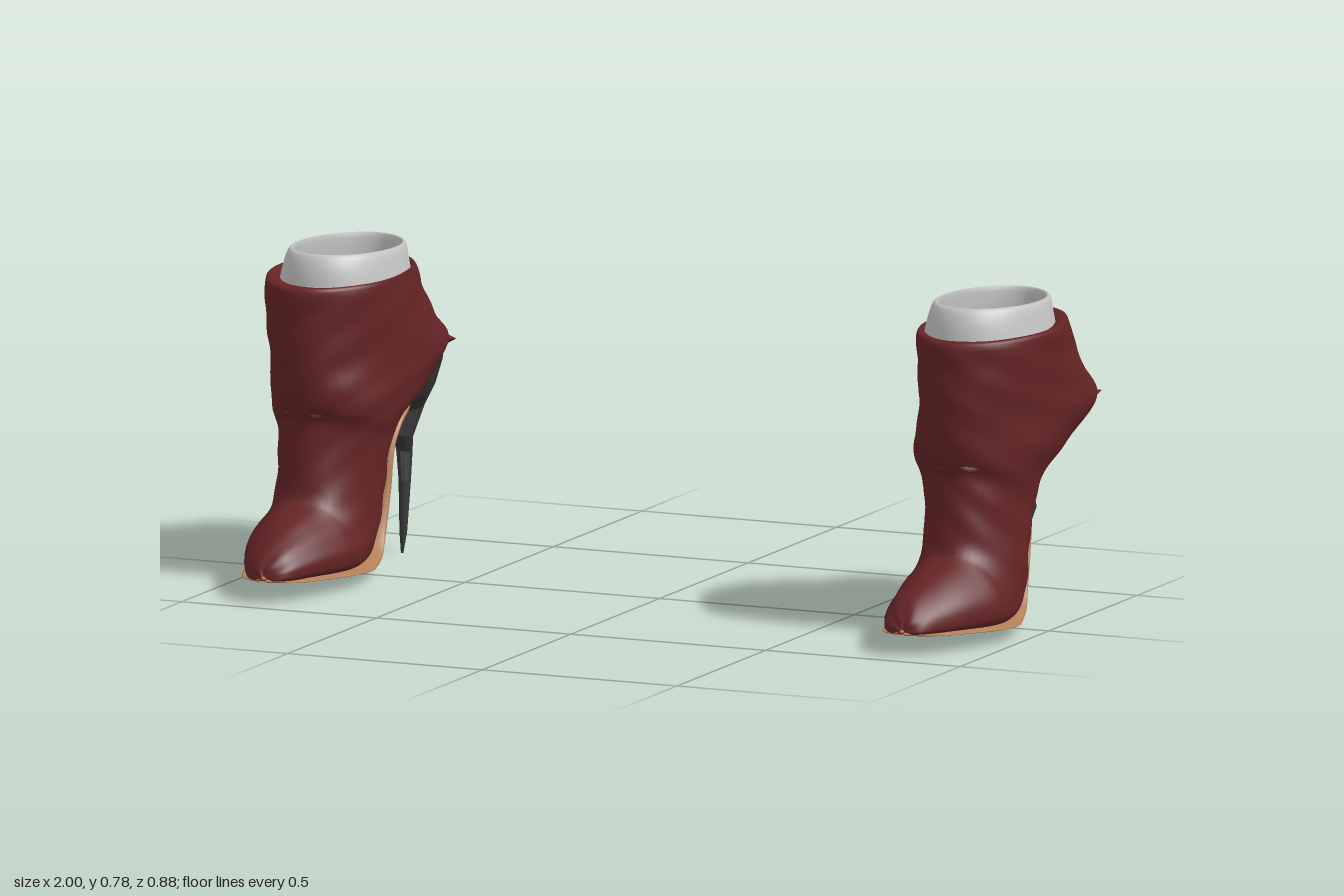
import * as THREE from 'three';

function makeMaterial(name, color) {
  const material = new THREE.MeshStandardMaterial({ color, side: THREE.DoubleSide });
  material.name = name;
  return material;
}

// Catmull-Rom blend of two neighbouring section rows
function blend(rows, i, t) {
  const at = (n) => rows[Math.min(Math.max(n, 0), rows.length - 1)];
  const a = at(i - 1), b = at(i), c = at(i + 1), d = at(i + 2);
  return b.map((v, k) => {
    const v0 = (c[k] - a[k]) / 2, v1 = (d[k] - v) / 2;
    return (2 * v - 2 * c[k] + v0 + v1) * t * t * t + (3 * c[k] - 3 * v - 2 * v0 - v1) * t * t + v0 * t + v;
  });
}

// Loft through rings: [front z, front y, back z, back y, half width, centre x, skew to back, back roundness]
function loft(rows, s, sub, n, wrinkle = 0) {
  const rings = [];
  for (let i = 0; i < rows.length - 1; i++) {
    for (let q = 0; q < sub; q++) rings.push(blend(rows, i, q / sub));
  }
  rings.push(rows[rows.length - 1]);
  const pos = [], index = [];
  rings.forEach(([fz, fy, bz, by, w, cx, skew, roundness], i) => {
    for (let j = 0; j < n; j++) {
      const t = (j / n) * Math.PI * 2, sn = Math.sin(t), cs = Math.cos(t);
      const u = cs - skew * sn * sn;
      const y = (fy + by) / 2 + ((fy - by) / 2) * u;
      const z = (fz + bz) / 2 + ((fz - bz) / 2) * u;
      const x = cx + w * Math.sign(sn) * Math.pow(Math.abs(sn), cs < 0 ? roundness : 1);
      const r = wrinkle * Math.sin(y * 47 + 3 * sn) * Math.sin(t * 5 + y * 23);
      pos.push((x + r * sn) * s, y, z + r * cs);
      if (i === rings.length - 1) continue;
      const p0 = i * n + j, p1 = i * n + ((j + 1) % n), p2 = p1 + n, p3 = p0 + n;
      if (s > 0) index.push(p0, p1, p2, p0, p2, p3);
      else index.push(p0, p2, p1, p0, p3, p2);
    }
  });
  const g = new THREE.BufferGeometry();
  g.setAttribute('position', new THREE.Float32BufferAttribute(pos, 3));
  g.setIndex(index);
  g.computeVertexNormals();
  return g;
}

// Flat-faced version of a geometry
function faceted(geometry) {
  const g = geometry.toNonIndexed();
  g.computeVertexNormals();
  return g;
}

// Keep the triangles whose centre passes the test, with their smooth normals
function pick(geometry, test) {
  const g = geometry.toNonIndexed();
  const p = g.getAttribute('position'), m = g.getAttribute('normal');
  const pos = [], nor = [];
  for (let i = 0; i < p.count; i += 3) {
    const y = (p.getY(i) + p.getY(i + 1) + p.getY(i + 2)) / 3;
    const z = (p.getZ(i) + p.getZ(i + 1) + p.getZ(i + 2)) / 3;
    if (!test(y, z)) continue;
    for (let k = i; k < i + 3; k++) {
      pos.push(p.getX(k), p.getY(k), p.getZ(k));
      nor.push(m.getX(k), m.getY(k), m.getZ(k));
    }
  }
  const out = new THREE.BufferGeometry();
  out.setAttribute('position', new THREE.Float32BufferAttribute(pos, 3));
  out.setAttribute('normal', new THREE.Float32BufferAttribute(nor, 3));
  return out;
}

// Foot, ankle, heel bulge and collar, from toe to rim
const UPPER = [
  [0.432, 0.062, 0.434, 0.052, 0.006, 0.82, 0.4, 1],
  [0.42, 0.09, 0.425, 0.05, 0.04, 0.82, 0.5, 1],
  [0.38, 0.126, 0.39, 0.046, 0.066, 0.82, 0.5, 1],
  [0.30, 0.165, 0.30, 0.041, 0.102, 0.828, 0.5, 1],
  [0.22, 0.195, 0.19, 0.033, 0.13, 0.834, 0.5, 1],
  [0.20, 0.215, 0.10, 0.027, 0.13, 0.834, 0.45, 1],
  [0.192, 0.25, 0.01, 0.036, 0.125, 0.833, 0.35, 1],
  [0.186, 0.30, -0.05, 0.075, 0.122, 0.832, 0.25, 1],
  [0.182, 0.35, -0.09, 0.16, 0.121, 0.83, 0.15, 1],
  [0.181, 0.39, -0.125, 0.27, 0.126, 0.828, 0.1, 1],
  [0.194, 0.42, -0.17, 0.345, 0.142, 0.826, 0.05, 0.9],
  [0.20, 0.46, -0.28, 0.405, 0.156, 0.828, 0, 0.7],
  [0.203, 0.52, -0.425, 0.492, 0.164, 0.833, 0, 0.5],
  [0.206, 0.58, -0.37, 0.57, 0.162, 0.835, 0, 0.65],
  [0.205, 0.64, -0.315, 0.65, 0.16, 0.837, 0, 0.85],
  [0.20, 0.703, -0.28, 0.716, 0.158, 0.838, 0, 1],
  [0.145, 0.70, -0.245, 0.706, 0.138, 0.828, 0, 1],
];

// Thin outsole, from toe to under the heel
const SOLE = [
  [0.438, 0.057, 0.438, 0.049, 0.01, 0.82, 0, 0.4],
  [0.39, 0.051, 0.39, 0.043, 0.07, 0.82, 0, 0.4],
  [0.30, 0.046, 0.30, 0.036, 0.107, 0.828, 0, 0.4],
  [0.20, 0.041, 0.20, 0.028, 0.134, 0.834, 0, 0.4],
  [0.10, 0.036, 0.10, 0.02, 0.134, 0.834, 0, 0.4],
  [0.03, 0.042, 0.04, 0.013, 0.12, 0.83, 0, 0.4],
  [-0.04, 0.068, -0.035, 0.019, 0.1, 0.827, 0, 0.4],
  [-0.07, 0.115, -0.09, 0.065, 0.086, 0.825, 0, 0.4],
  [-0.1, 0.19, -0.13, 0.18, 0.08, 0.822, 0, 0.4],
  [-0.125, 0.285, -0.152, 0.265, 0.076, 0.82, 0, 0.4],
  [-0.17, 0.345, -0.175, 0.313, 0.076, 0.817, 0, 0.4],
  [-0.24, 0.385, -0.24, 0.337, 0.06, 0.81, 0, 0.4],
  [-0.30, 0.385, -0.30, 0.35, 0.02, 0.80, 0, 0.4],
];

// Footbed seen through the opening
const INSOLE = [
  [0.2, 0.065, 0.2, 0.06, 0.09, 0.833, 0, 0.5],
  [0.06, 0.068, 0.06, 0.063, 0.095, 0.83, 0, 0.5],
  [-0.02, 0.11, -0.02, 0.105, 0.09, 0.828, 0, 0.5],
  [-0.055, 0.19, -0.06, 0.185, 0.08, 0.826, 0, 0.5],
  [-0.09, 0.29, -0.095, 0.285, 0.08, 0.825, 0, 0.5],
  [-0.15, 0.375, -0.15, 0.37, 0.085, 0.825, 0, 0.5],
  [-0.25, 0.44, -0.25, 0.435, 0.085, 0.825, 0, 0.5],
  [-0.35, 0.50, -0.35, 0.495, 0.07, 0.825, 0, 0.5],
];

// Jagged stiletto, from tip to cap
const HEEL = [
  [-0.281, 0, -0.286, 0, 0.003, 0.79, 0, 1],
  [-0.28, 0.05, -0.30, 0.05, 0.009, 0.79, 0, 1],
  [-0.285, 0.17, -0.325, 0.175, 0.014, 0.793, 0, 1],
  [-0.298, 0.24, -0.347, 0.22, 0.018, 0.802, 0, 1],
  [-0.275, 0.28, -0.333, 0.27, 0.022, 0.796, 0, 1],
  [-0.285, 0.335, -0.382, 0.35, 0.04, 0.80, 0, 0.8],
  [-0.235, 0.36, -0.405, 0.42, 0.082, 0.812, 0, 0.7],
  [-0.2, 0.385, -0.428, 0.495, 0.112, 0.825, 0, 0.5],
];

// Sock cuff: outside up, over the lip, inside down
const CUFF = [
  [0.156, 0.685, -0.254, 0.69, 0.146, 0.828, 0, 1.1],
  [0.148, 0.735, -0.252, 0.73, 0.135, 0.828, 0, 1.1],
  [0.132, 0.768, -0.25, 0.76, 0.126, 0.828, 0, 1.1],
  [0.118, 0.772, -0.238, 0.764, 0.116, 0.828, 0, 1.1],
  [0.116, 0.73, -0.234, 0.725, 0.117, 0.828, 0, 1.1],
  [0.12, 0.685, -0.235, 0.69, 0.12, 0.828, 0, 1.1],
];

// Ragged edge pieces: [x, y, z, size, dark]
const SHARDS = [
  [0.72, 0.495, -0.40, 0.05, 0], [0.94, 0.495, -0.39, 0.06, 0], [0.78, 0.515, -0.415, 0.04, 0],
  [0.88, 0.515, -0.415, 0.04, 0], [0.75, 0.48, -0.41, 0.05, 1], [0.83, 0.49, -0.42, 0.04, 1],
  [0.91, 0.48, -0.41, 0.05, 1], [0.80, 0.58, -0.365, 0.03, 0], [0.87, 0.60, -0.345, 0.03, 0],
];

// Dark zone at the back underside of the upper
const inHeelCup = (y, z) =>
  z < -0.18 && y < 0.35 + 0.15 * Math.pow((-0.18 - z) / 0.25, 0.6) + 0.006 * Math.sin(z * 190);

export function createModel() {
  const red = makeMaterial('dark red leather', 0x652425);
  const black = makeMaterial('charcoal heel', 0x363636);
  const tan = makeMaterial('tan leather', 0xb48058);
  const grey = makeMaterial('light grey sock', 0xc2c2c2);

  const model = new THREE.Group();
  model.name = 'pairOfBoots';
  for (const s of [1, -1]) {
    const boot = new THREE.Group();
    boot.name = s > 0 ? 'leftBoot' : 'rightBoot';
    model.add(boot);
    const add = (name, geometry, material) => {
      const mesh = new THREE.Mesh(geometry, material);
      mesh.name = name;
      boot.add(mesh);
      return mesh;
    };
    const upper = loft(UPPER, s, 6, 56, 0.003);
    add('upper', pick(upper, (y, z) => !inHeelCup(y, z)), red);
    add('heelCup', pick(upper, inHeelCup), black);
    add('sole', loft(SOLE, s, 4, 24), tan);
    add('insole', loft(INSOLE, s, 4, 16), tan);
    add('heel', faceted(loft(HEEL, s, 1, 10)), black);
    add('sockCuff', loft(CUFF, s, 3, 48), grey);

    // Torn points around the heel bulge
    SHARDS.forEach(([x, y, z, size, dark], i) => {
      const shard = add('heelShard', faceted(new THREE.ConeGeometry(size * 0.3, size, 4)), dark ? black : red);
      shard.position.set(x * s, y, z);
      shard.rotation.set(-1.7 + 0.25 * (i % 3), 0, s * (0.83 - x) * 2);
    });

    // Crumpled fold across the instep
    const fold = new THREE.CatmullRomCurve3([-0.09, -0.06, -0.025, 0.01, 0.045, 0.085].map((dx, i) =>
      new THREE.Vector3((0.828 + dx) * s, 0.403 + (i % 2) * 0.016, 0.178 - 6 * dx * dx)));
    add('instepFold', new THREE.TubeGeometry(fold, 24, 0.011, 6), red);
  }
  return model;
}
